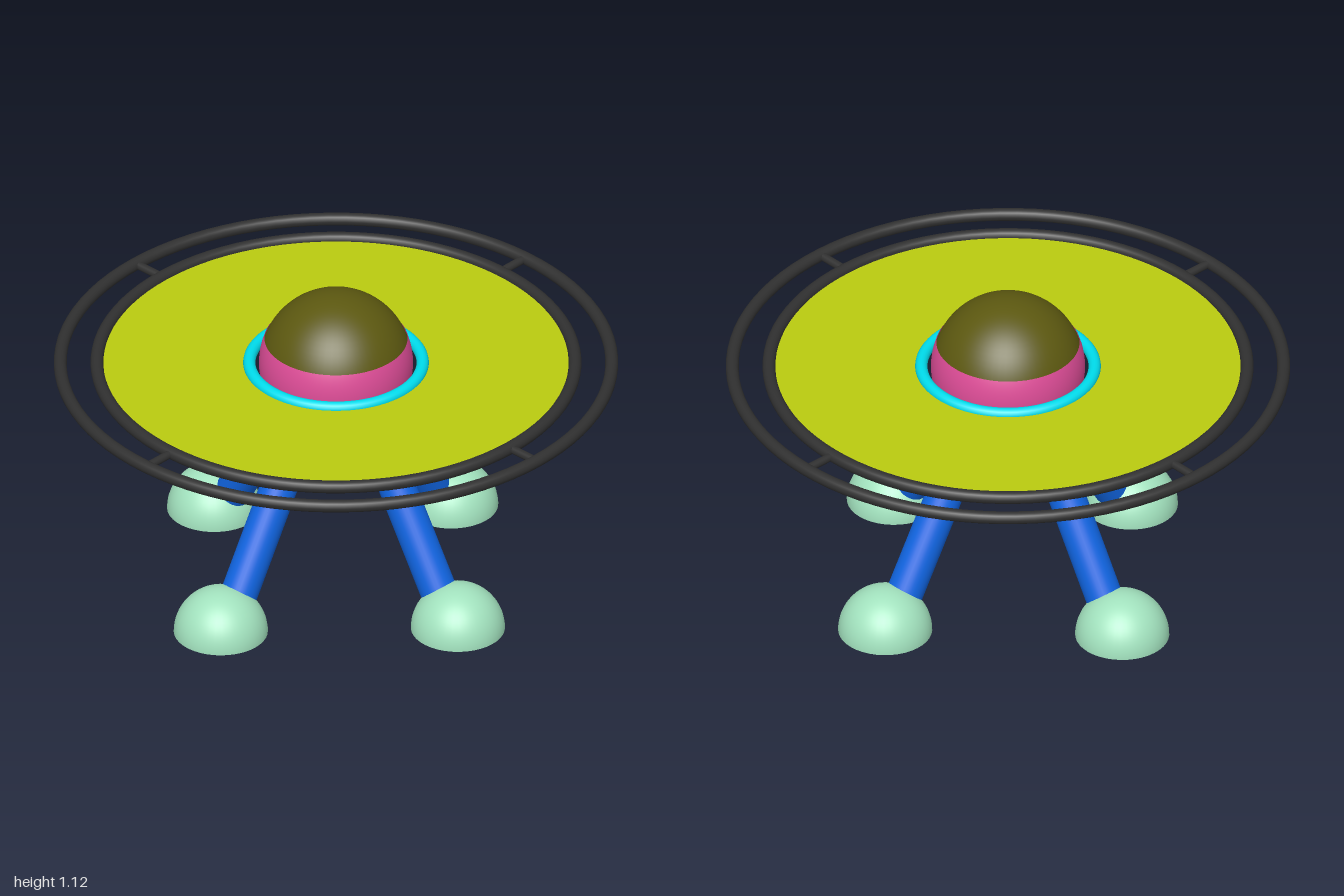
import * as THREE from 'three';

const Y = 0.85; // height of the saucer plane and body centre
const mat = (color, side = THREE.FrontSide) => new THREE.MeshStandardMaterial({ color, side });

export function createModel() {
  const model = new THREE.Group();
  const add = (name, geometry, material, parent = model) => {
    const mesh = new THREE.Mesh(geometry, material);
    mesh.name = name;
    parent.add(mesh);
    return mesh;
  };
  const dark = mat(0x303030);
  const blue = mat(0x1064e0);
  const mint = mat(0xa2e2be);

  // Round body with a slightly raised belt
  add('body', new THREE.SphereGeometry(0.27, 64, 40), mat(0x5c5810)).position.y = Y;
  const half = Math.asin(0.101 / 0.273);
  add('belt', new THREE.SphereGeometry(0.273, 64, 16, 0, Math.PI * 2, Math.PI / 2 - half, half * 2),
    mat(0xdc4c96, THREE.DoubleSide)).position.y = Y;

  // Thin saucer disc, open around the body
  const disc = add('disc', new THREE.RingGeometry(0.307, 0.847, 96), mat(0xbacb10, THREE.DoubleSide));
  disc.rotation.x = -Math.PI / 2;
  disc.position.y = Y;

  // Round rims
  const ring = (name, radius, tube, material) => {
    const mesh = add(name, new THREE.TorusGeometry(radius, tube, 16, 96), material);
    mesh.rotation.x = Math.PI / 2;
    mesh.position.y = Y;
  };
  ring('innerRim', 0.307, 0.022, mat(0x00dcec));
  ring('discRim', 0.847, 0.023, dark);
  ring('outerRing', 0.977, 0.023, dark);

  // Rod between two points
  const rod = (name, a, b, radius, material, parent) => {
    const dir = b.clone().sub(a);
    const mesh = add(name, new THREE.CylinderGeometry(radius, radius, dir.length(), 32), material, parent);
    mesh.position.copy(a).add(b).multiplyScalar(0.5);
    mesh.quaternion.setFromUnitVectors(new THREE.Vector3(0, 1, 0), dir.normalize());
  };

  // Four ring struts, legs and domed feet, one set per quarter turn
  for (let i = 0; i < 4; i++) {
    const quarter = new THREE.Group();
    quarter.name = 'quarter' + (i + 1);
    quarter.rotation.y = i * Math.PI / 2;
    model.add(quarter);
    rod('strut', new THREE.Vector3(0.847, Y, 0), new THREE.Vector3(0.977, Y, 0), 0.015, dark, quarter);
    rod('leg', new THREE.Vector3(0.53, 0.06, 0), new THREE.Vector3(0.12, 0.764, 0), 0.066, blue, quarter);
    const foot = add('foot', new THREE.SphereGeometry(0.167, 40, 20, 0, Math.PI * 2, 0, Math.PI / 2), mint, quarter);
    foot.position.x = 0.594;
    const sole = add('sole', new THREE.CircleGeometry(0.167, 40), mint, quarter);
    sole.rotation.x = Math.PI / 2;
    sole.position.x = 0.594;
  }
  return model;
}
